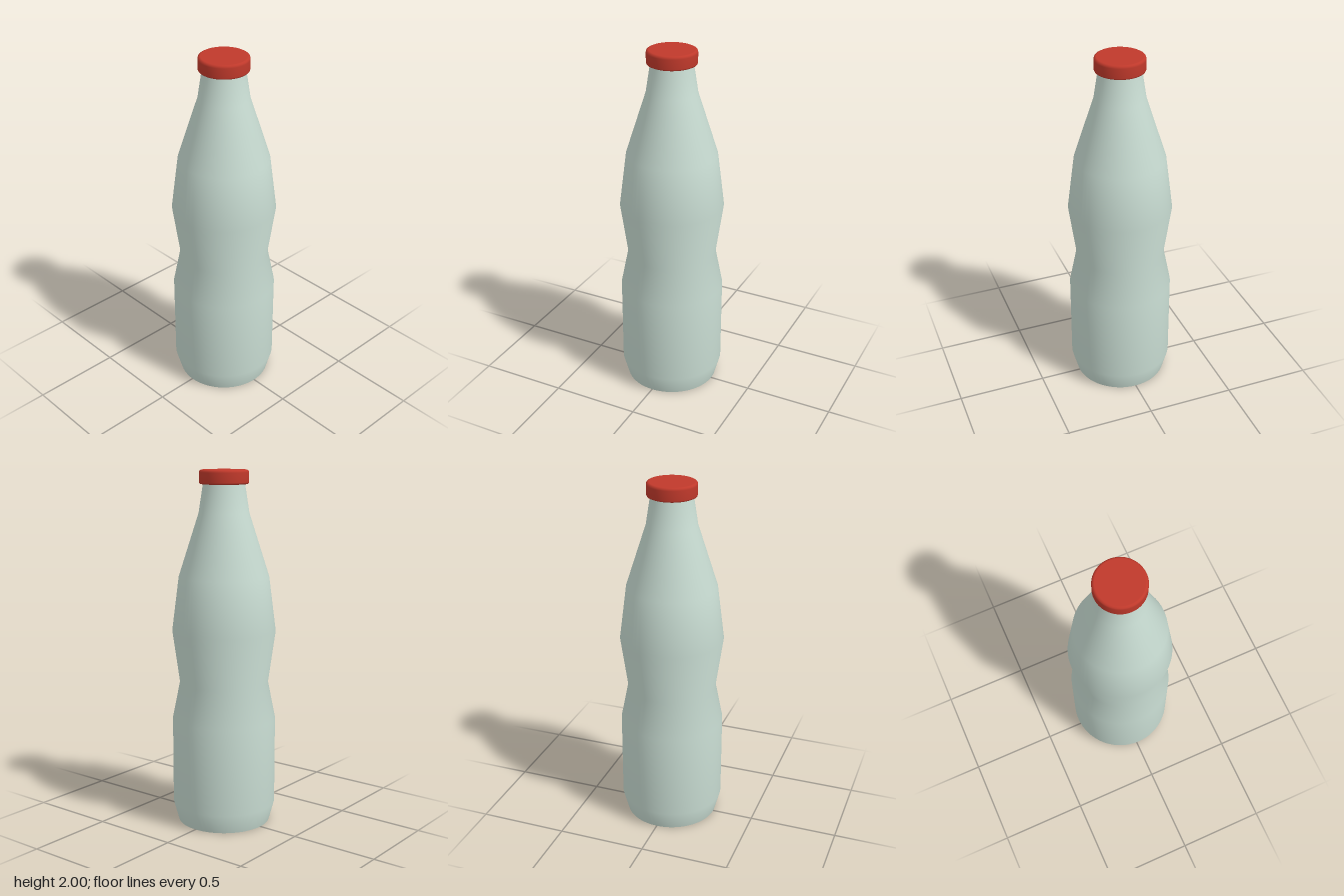
import * as THREE from 'three';

const SEGMENTS = 64;

// Revolve a list of [radius, height] pairs, listed from bottom to top
function lathe(name, profile, material) {
  const points = profile.map(([r, y]) => new THREE.Vector2(r, y));
  const mesh = new THREE.Mesh(new THREE.LatheGeometry(points, SEGMENTS), material);
  mesh.name = name;
  return mesh;
}

export function createModel() {
  const glass = new THREE.MeshStandardMaterial({ color: 0xc8dcd2 });
  glass.name = 'pale green glass';
  const red = new THREE.MeshStandardMaterial({ color: 0xc0392b });
  red.name = 'red cap';

  const group = new THREE.Group();
  group.name = 'bottle';

  // Waisted body tapering into the neck
  group.add(lathe('body', [
    [0.262, 0], [0.292, 0.11], [0.292, 0.605], [0.25, 0.815],
    [0.291, 1.11], [0.252, 1.415], [0.14, 1.765], [0.113, 1.94],
  ], glass));

  // Flat base, kept separate for a crisp bottom edge
  const base = new THREE.Mesh(new THREE.CircleGeometry(0.262, SEGMENTS), glass);
  base.rotation.x = Math.PI / 2;
  base.name = 'base';
  group.add(base);

  // Cap with softened rims
  group.add(lathe('cap', [
    [0, 1.922], [0.127, 1.922], [0.134, 1.925], [0.137, 1.932],
    [0.137, 1.985], [0.134, 1.995], [0.127, 1.999], [0.122, 2], [0, 2],
  ], red));

  return group;
}
